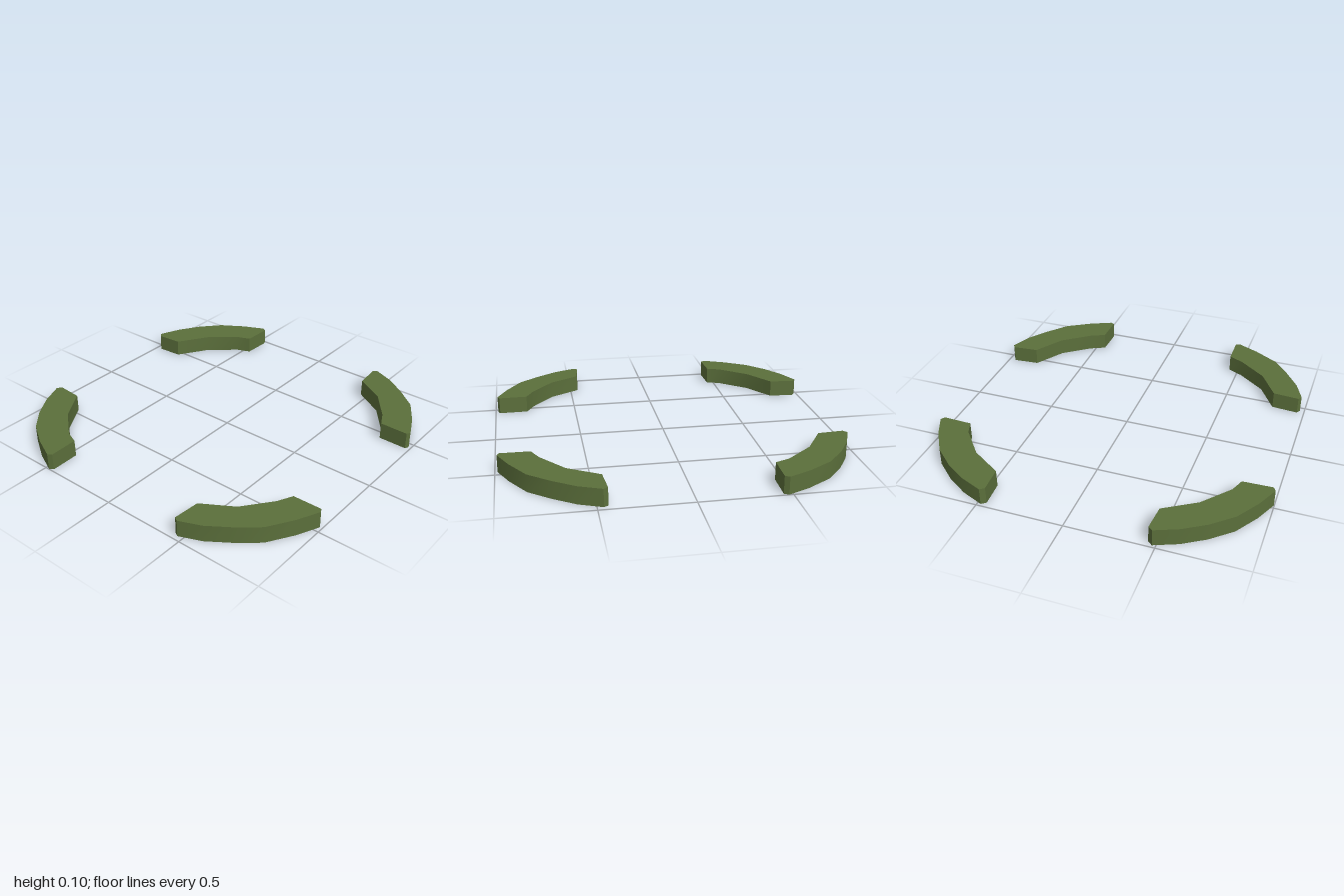
import * as THREE from 'three';
import { toCreasedNormals } from 'three/addons/utils/BufferGeometryUtils.js';

const HEIGHT = 0.1;

// Ground outlines [x, z] of the left-hand hedges; the right-hand ones are mirrored
const BACK = [
  [0.48, -0.985], [0.454, -0.965], [0.465, -0.815], [0.645, -0.70], [0.78, -0.54], [0.812, -0.458],
  [0.983, -0.452], [0.998, -0.477], [0.94, -0.605], [0.852, -0.745], [0.735, -0.85], [0.61, -0.93],
];
const FRONT = [
  [0.958, 0.442], [0.803, 0.455], [0.695, 0.632], [0.532, 0.76], [0.444, 0.803], [0.441, 0.973],
  [0.464, 0.985], [0.593, 0.925], [0.738, 0.835], [0.835, 0.717], [0.92, 0.593], [0.973, 0.466],
];

// Upright faces around the outline, open underneath
function wallGeometry(points) {
  const pos = [];
  points.forEach((p, i) => {
    const q = points[(i + 1) % points.length];
    const a = [p.x, 0, -p.y], b = [q.x, 0, -q.y];
    const c = [q.x, HEIGHT, -q.y], d = [p.x, HEIGHT, -p.y];
    pos.push(...a, ...b, ...c, ...a, ...c, ...d);
  });
  const geo = new THREE.BufferGeometry();
  geo.setAttribute('position', new THREE.Float32BufferAttribute(pos, 3));
  return toCreasedNormals(geo, Math.PI / 4);
}

function makeHedge(name, outline, side, material) {
  const points = outline.map(([x, z]) => new THREE.Vector2(x * side, -z));
  if (THREE.ShapeUtils.isClockWise(points)) points.reverse();

  const hedge = new THREE.Group();
  hedge.name = name;

  const walls = new THREE.Mesh(wallGeometry(points), material);
  walls.name = 'hedgeWalls';

  const topGeo = new THREE.ShapeGeometry(new THREE.Shape(points));
  topGeo.rotateX(-Math.PI / 2).translate(0, HEIGHT, 0);
  const top = new THREE.Mesh(topGeo, material);
  top.name = 'hedgeTop';

  hedge.add(walls, top);
  return hedge;
}

export function createModel() {
  const model = new THREE.Group();
  model.name = 'hedgeRing';
  const leaf = new THREE.MeshStandardMaterial({ color: 0x5b6f3b, side: THREE.DoubleSide });
  leaf.name = 'hedgeGreen';

  // Four curved hedges around an open circle
  for (const [label, side] of [['Left', 1], ['Right', -1]]) {
    model.add(makeHedge('front' + label + 'Hedge', FRONT, side, leaf));
    model.add(makeHedge('back' + label + 'Hedge', BACK, side, leaf));
  }
  return model;
}
